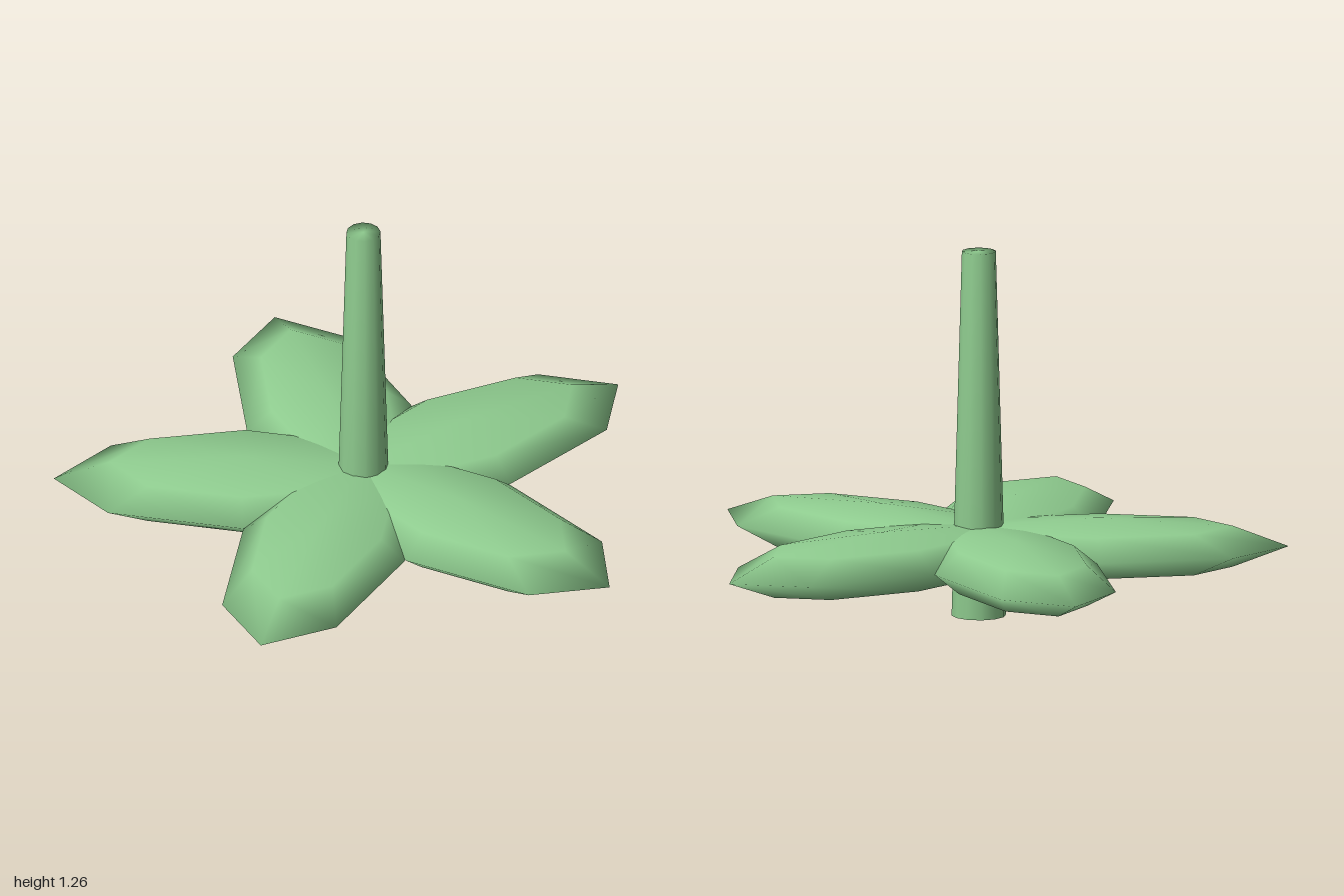
import * as THREE from 'three';
import { mergeVertices } from 'three/addons/utils/BufferGeometryUtils.js';

const PETALS = 5;
const STEM_HEIGHT = 1.26;

// Shares vertices across edges so the whole surface shades softly
function softened(geometry) {
  geometry.deleteAttribute('normal');
  geometry.deleteAttribute('uv');
  const welded = mergeVertices(geometry, 1e-4);
  welded.computeVertexNormals();
  return welded;
}

export function createModel() {
  const model = new THREE.Group();
  model.name = 'flower';
  const green = new THREE.MeshStandardMaterial({ color: 0x8fcc8f });

  // Tapered stem
  const stem = new THREE.Mesh(
    softened(new THREE.CylinderGeometry(0.058, 0.093, STEM_HEIGHT, 12)), green);
  stem.name = 'stem';
  stem.position.y = STEM_HEIGHT / 2;
  model.add(stem);

  // Ring of flattened low-poly ellipsoid petals overlapping at the stem
  const petalGeometry = new THREE.SphereGeometry(1, 8, 4);
  petalGeometry.scale(0.645, 0.1, 0.29);
  petalGeometry.translate(0.405, 0, 0);
  const petalShape = softened(petalGeometry);
  for (let i = 0; i < PETALS; i++) {
    const petal = new THREE.Mesh(petalShape, green);
    petal.name = `petal${i + 1}`;
    petal.position.y = 0.237;
    petal.rotation.y = (i / PETALS) * Math.PI * 2;
    model.add(petal);
  }

  // Centre the five-petal outline on x = 0
  model.position.x = -0.105;
  return model;
}
